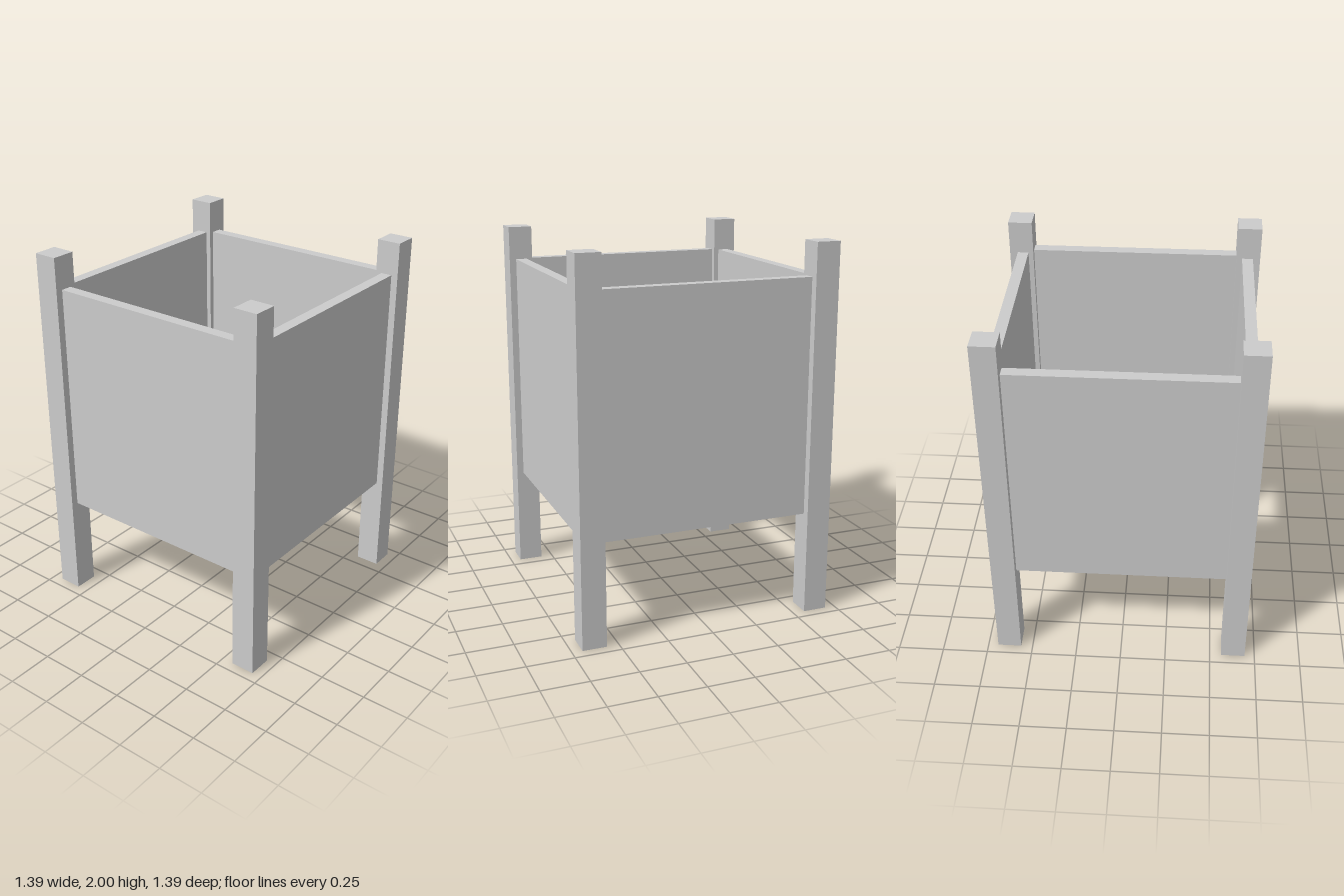
import * as THREE from 'three';

export function createModel() {
  const group = new THREE.Group();
  const material = new THREE.MeshStandardMaterial({ color: 0xcccccc, flatShading: true });

  const addBox = (name, [w, h, d], [x, y, z]) => {
    const mesh = new THREE.Mesh(new THREE.BoxGeometry(w, h, d), material);
    mesh.name = name;
    mesh.position.set(x, y, z);
    group.add(mesh);
  };

  const post = 0.13, postOffset = 0.63;
  const span = 2 * postOffset - post; // clear gap between posts
  const bottom = 0.55, top = 1.82, thickness = 0.06;
  const height = top - bottom, middle = (top + bottom) / 2;

  // Square corner posts
  for (const [side, x] of [['Left', postOffset], ['Right', -postOffset]]) {
    for (const [end, z] of [['front', postOffset], ['back', -postOffset]]) {
      addBox(`${end}${side}Post`, [post, 2, post], [x, 1, z]);
    }
  }

  // Wall panels between the posts, open above and below
  addBox('frontPanel', [span, height, thickness], [0, middle, 0.628]);
  addBox('backPanel', [span, height, thickness], [0, middle, -0.622]);
  addBox('leftPanel', [thickness, height, span], [0.622, middle, 0]);
  addBox('rightPanel', [thickness, height, span], [-0.625, middle, 0]);

  return group;
}
